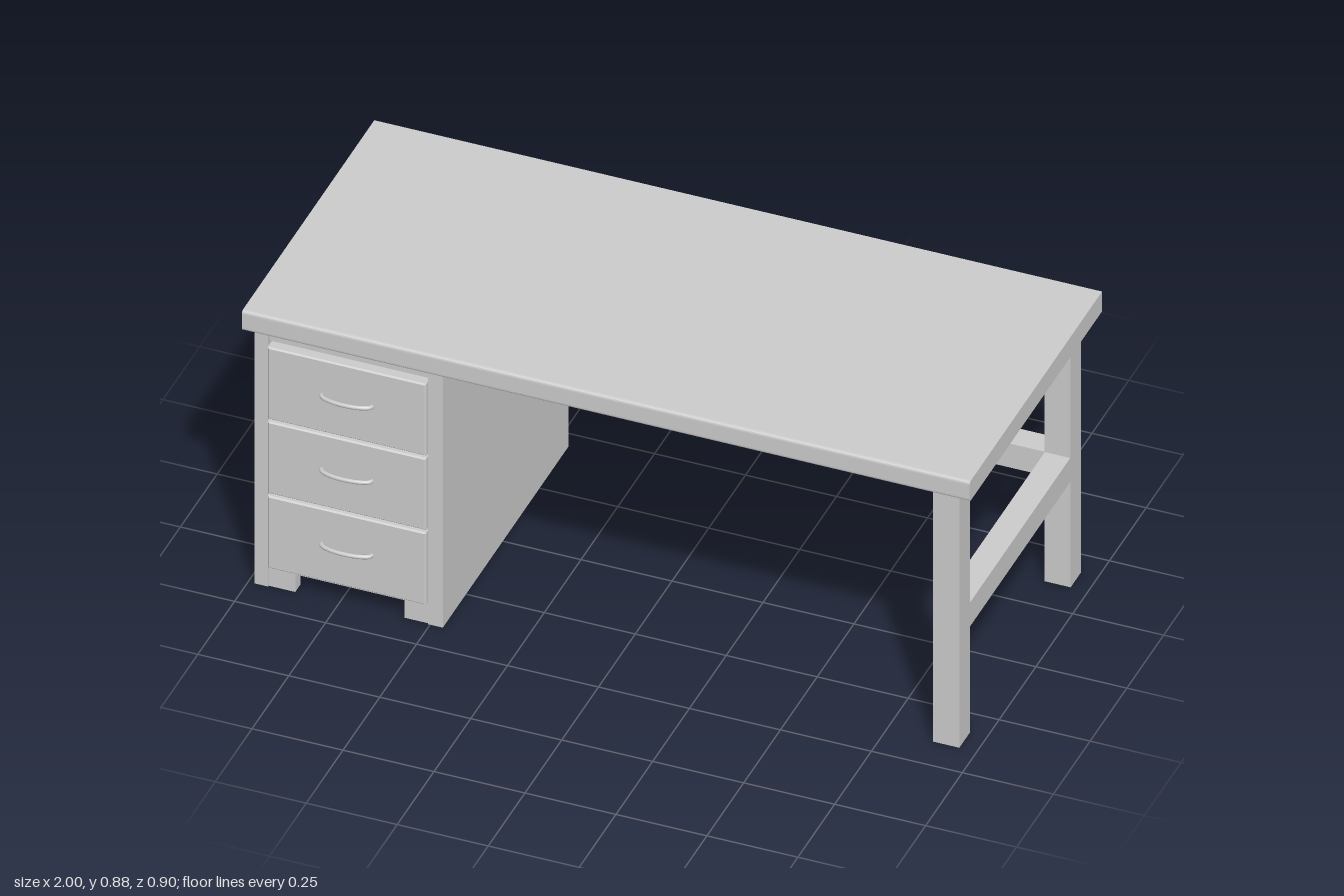
import * as THREE from 'three';

const grey = new THREE.MeshStandardMaterial({ color: 0xcccccc });

// Box given by its min and max corners
function box(name, x0, x1, y0, y1, z0, z1) {
  const m = new THREE.Mesh(new THREE.BoxGeometry(x1 - x0, y1 - y0, z1 - z0), grey);
  m.name = name;
  m.position.set((x0 + x1) / 2, (y0 + y1) / 2, (z0 + z1) / 2);
  return m;
}

function rect(P, x0, x1, y0, y1) {
  const p = new P();
  p.moveTo(x0, y0);
  p.lineTo(x1, y0);
  p.lineTo(x1, y1);
  p.lineTo(x0, y1);
  p.closePath();
  return p;
}

// Flat frame with one rectangular opening per row
function frame(name, u0, u1, y0, y1, h0, h1, rows, depth) {
  const s = rect(THREE.Shape, u0, u1, y0, y1);
  for (const [a, b] of rows) s.holes.push(rect(THREE.Path, h0, h1, a, b));
  const m = new THREE.Mesh(new THREE.ExtrudeGeometry(s, { depth, bevelEnabled: false }), grey);
  m.name = name;
  return m;
}

// Worktop: profile with softened front edges, extruded along x
function createTop() {
  const r = 0.01, y0 = 0.815, y1 = 0.877, zf = 0.45;
  const s = new THREE.Shape();
  // profile u = -z, so that turning it by 90 degrees points it along x
  s.moveTo(zf, y0);
  s.lineTo(zf, y1);
  s.lineTo(-zf + r, y1);
  s.quadraticCurveTo(-zf, y1, -zf, y1 - r);
  s.lineTo(-zf, y0 + r);
  s.quadraticCurveTo(-zf, y0, -zf + r, y0);
  s.closePath();
  const g = new THREE.ExtrudeGeometry(s, { depth: 2, bevelEnabled: false, curveSegments: 5 });
  g.rotateY(Math.PI / 2);
  g.translate(-1, 0, 0);
  const m = new THREE.Mesh(g, grey);
  m.name = 'worktop';
  return m;
}

// Drawer front with bevelled edge and bowed pull handle
function createDrawer(y0, y1) {
  const g = new THREE.Group();
  g.name = 'drawer';
  const b = 0.004;
  const s = rect(THREE.Shape, -0.943 + b, -0.507 - b, y0 + b, y1 - b);
  const front = new THREE.Mesh(new THREE.ExtrudeGeometry(s, {
    depth: 0.026, bevelSize: b, bevelThickness: b, bevelSegments: 1,
  }), grey);
  front.name = 'drawerFront';
  front.position.z = 0.388;
  const y = (y0 + y1) / 2 + 0.004;
  const path = new THREE.CatmullRomCurve3([
    [-0.07, 0.412], [-0.066, 0.425], [-0.04, 0.436], [0, 0.44],
    [0.04, 0.436], [0.066, 0.425], [0.07, 0.412],
  ].map(([x, z]) => new THREE.Vector3(x - 0.725, y, z)));
  const handle = new THREE.Mesh(new THREE.TubeGeometry(path, 24, 0.006, 8), grey);
  handle.name = 'handle';
  g.add(front, handle);
  return g;
}

// Drawer pedestal
function createPedestal() {
  const g = new THREE.Group();
  g.name = 'pedestal';
  const rows = [[0.065, 0.291], [0.299, 0.524], [0.532, 0.757]];
  const top = 0.815, zb = -0.447, zf = 0.408;

  g.add(box('body', -0.969, -0.49, 0.055, top, -0.437, 0.385));
  g.add(box('innerSide', -0.505, -0.465, 0, top, zb, zf));

  // outer side: panelled face over a plain backing
  g.add(box('outerSide', -0.97, -0.945, 0, top, zb, zf));
  const side = frame('outerSideFrame', -zf, -zb, 0, top, -0.33, 0.36, rows, 0.012);
  side.rotation.y = Math.PI / 2;
  side.position.x = -0.982;
  g.add(side);

  // back face with three recessed panels
  const back = frame('backFrame', -0.945, -0.505, 0.055, top, -0.925, -0.525, rows, 0.012);
  back.position.z = zb + 0.002;
  g.add(back);

  // front rails above and below the drawers
  g.add(box('topRail', -0.945, -0.505, 0.765, top, 0.38, 0.396));
  g.add(box('bottomRail', -0.945, -0.505, 0.055, 0.064, 0.38, 0.404));

  // bracket feet at front and back
  for (const [z0, z1] of [[0.37, 0.404], [-0.445, -0.41]]) {
    g.add(box('foot', -0.945, -0.872, 0, 0.056, z0, z1));
    g.add(box('foot', -0.572, -0.505, 0, 0.056, z0, z1));
  }
  for (const [a, b] of rows) g.add(createDrawer(a, b));
  return g;
}

export function createModel() {
  const model = new THREE.Group();
  model.name = 'desk';
  model.add(createTop(), createPedestal());

  // Legs and stretchers
  model.add(box('frontLeg', 0.88, 0.952, 0, 0.815, 0.33, 0.402));
  model.add(box('backLeg', 0.88, 0.952, 0, 0.815, -0.427, -0.355));
  model.add(box('sideStretcher', 0.881, 0.951, 0.33, 0.405, -0.355, 0.33));
  model.add(box('backStretcher', -0.465, 0.88, 0.33, 0.405, -0.426, -0.356));
  return model;
}
